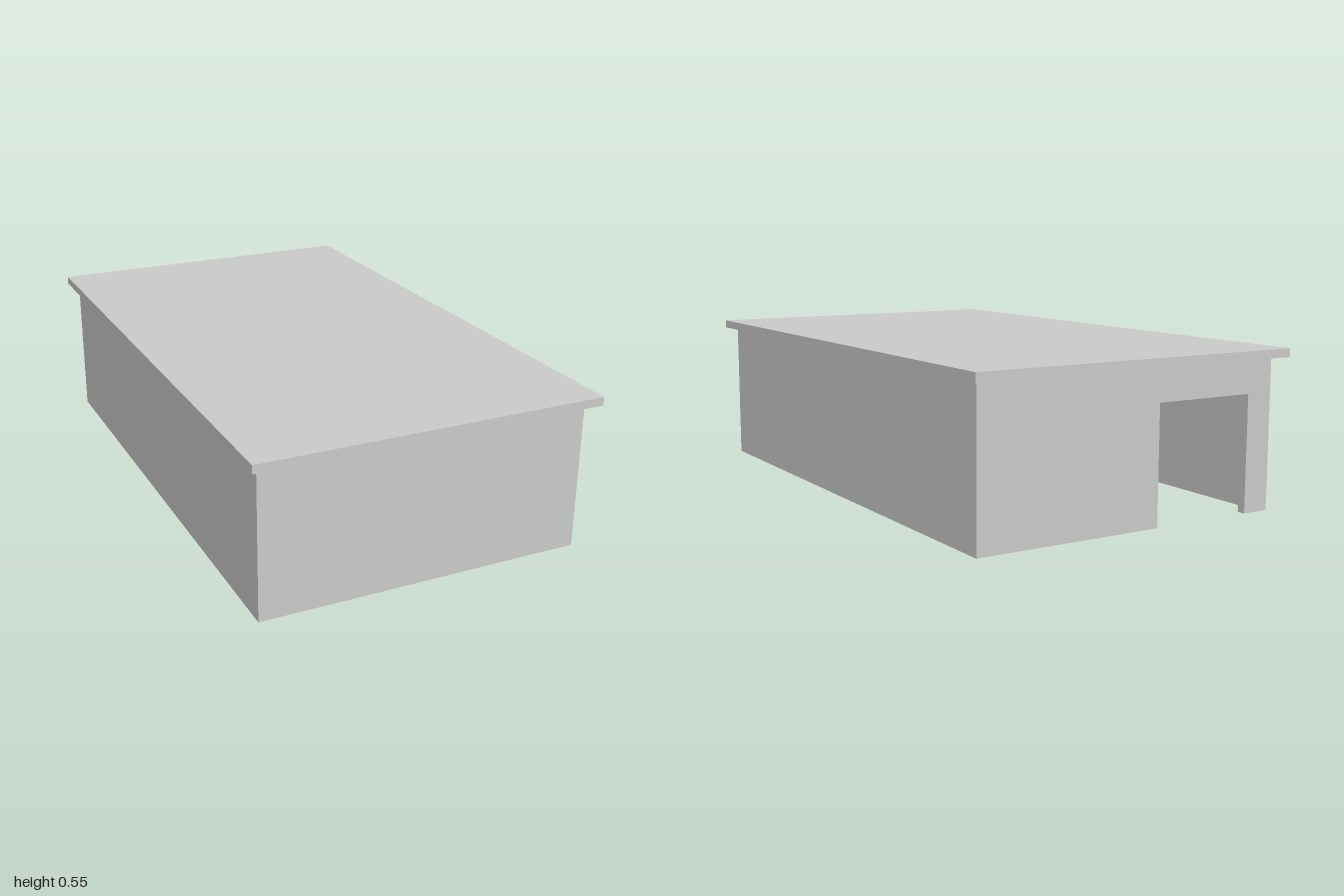
import * as THREE from 'three';

const W = 0.567, D = 0.95, H = 0.518, T = 0.03; // half width, half depth, wall height, wall thickness

export function createModel() {
  const group = new THREE.Group();
  const material = new THREE.MeshStandardMaterial({ color: 0xcccccc, flatShading: true });

  const add = (name, geometry, x, y, z) => {
    const mesh = new THREE.Mesh(geometry, material);
    mesh.name = name;
    mesh.position.set(x, y, z);
    group.add(mesh);
  };

  // Overhanging flat roof slab
  add('roof', new THREE.BoxGeometry(1.2, 0.029, 2), 0, H + 0.0145, 0);

  // Long side walls, fitted between the end walls
  for (const [name, side] of [['leftWall', 1], ['rightWall', -1]]) {
    add(name, new THREE.BoxGeometry(T, H, 2 * (D - T)), side * (W - T / 2), H / 2, 0);
  }

  // Closed front wall
  add('frontWall', new THREE.BoxGeometry(2 * W, H, T), 0, H / 2, D - T / 2);

  // Back wall with an off-centre doorway open to the ground
  const outline = [
    [-W, 0], [-0.47, 0], [-0.47, 0.4], [-0.1, 0.4], [-0.1, 0], [W, 0], [W, H], [-W, H],
  ].map(([x, y]) => new THREE.Vector2(x, y));
  const backWall = new THREE.ExtrudeGeometry(new THREE.Shape(outline), { depth: T, bevelEnabled: false });
  add('backWall', backWall, 0, 0, -D);

  return group;
}
